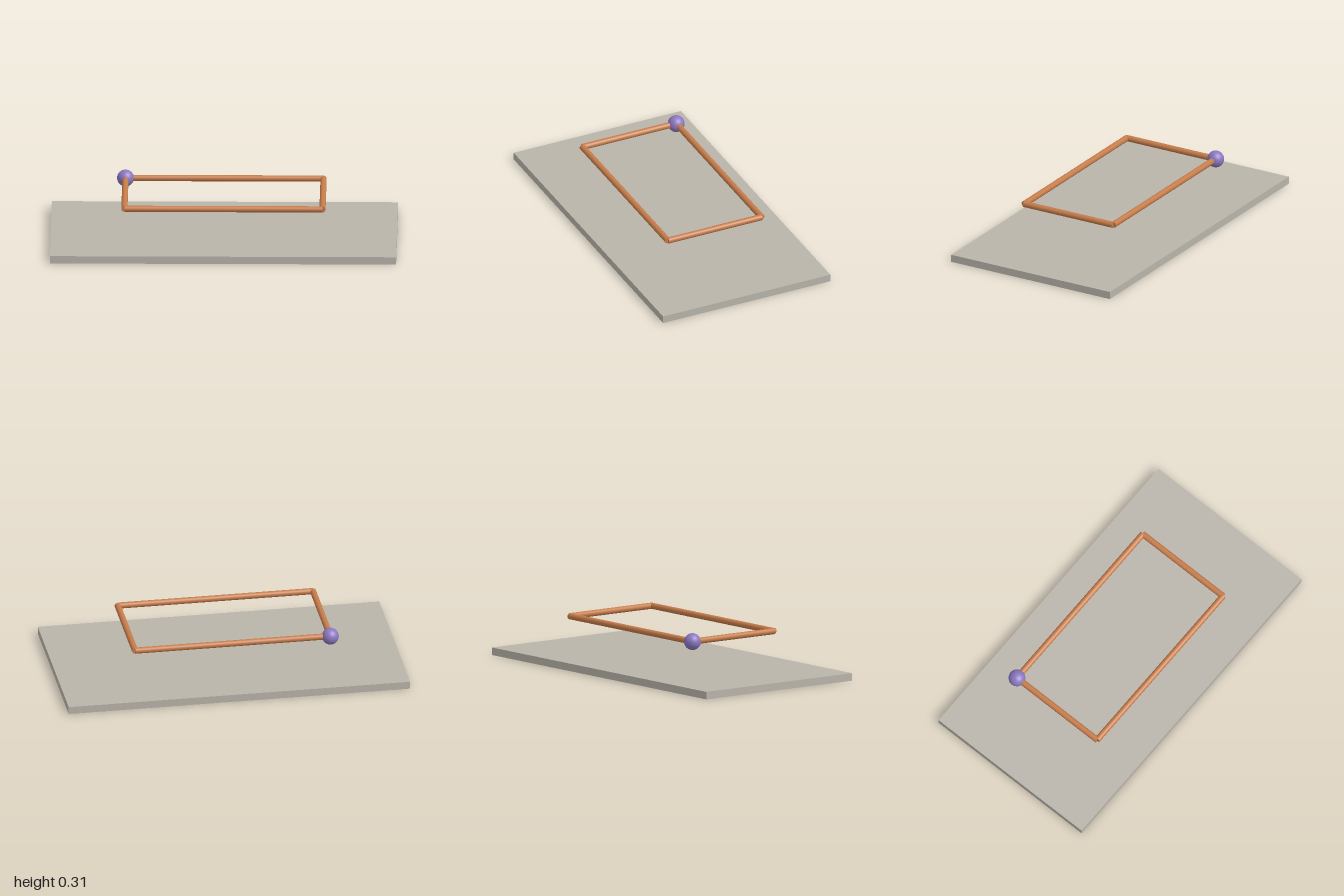
import * as THREE from 'three';

export function createModel() {
  const model = new THREE.Group();
  const stone = new THREE.MeshStandardMaterial({ name: 'warm grey', color: 0xb8b4aa });
  const copper = new THREE.MeshStandardMaterial({ name: 'copper', color: 0xc67c4a });
  const violet = new THREE.MeshStandardMaterial({ name: 'violet', color: 0x8b78c0 });

  const add = (name, geometry, material, x, y, z) => {
    const mesh = new THREE.Mesh(geometry, material);
    mesh.name = name;
    mesh.position.set(x, y, z);
    model.add(mesh);
    return mesh;
  };

  const halfX = 0.572, halfZ = 0.3, loopY = 0.259, rodRadius = 0.018;

  // Flat base plate
  const baseHeight = 0.044;
  add('basePlate', new THREE.BoxGeometry(2, baseHeight, 1.07), stone, 0, baseHeight / 2, 0);

  // Rectangular loop of four flat-ended rods, floating above the plate
  const longRod = new THREE.CylinderGeometry(rodRadius, rodRadius, halfX * 2, 24).rotateZ(Math.PI / 2);
  const shortRod = new THREE.CylinderGeometry(rodRadius, rodRadius, halfZ * 2, 24).rotateX(Math.PI / 2);
  add('frontRod', longRod, copper, 0, loopY, halfZ);
  add('backRod', longRod, copper, 0, loopY, -halfZ);
  add('leftRod', shortRod, copper, halfX, loopY, 0);
  add('rightRod', shortRod, copper, -halfX, loopY, 0);

  // Ball on the back right corner
  add('cornerBall', new THREE.SphereGeometry(0.049, 32, 20), violet, -halfX, loopY, -halfZ);

  return model;
}
